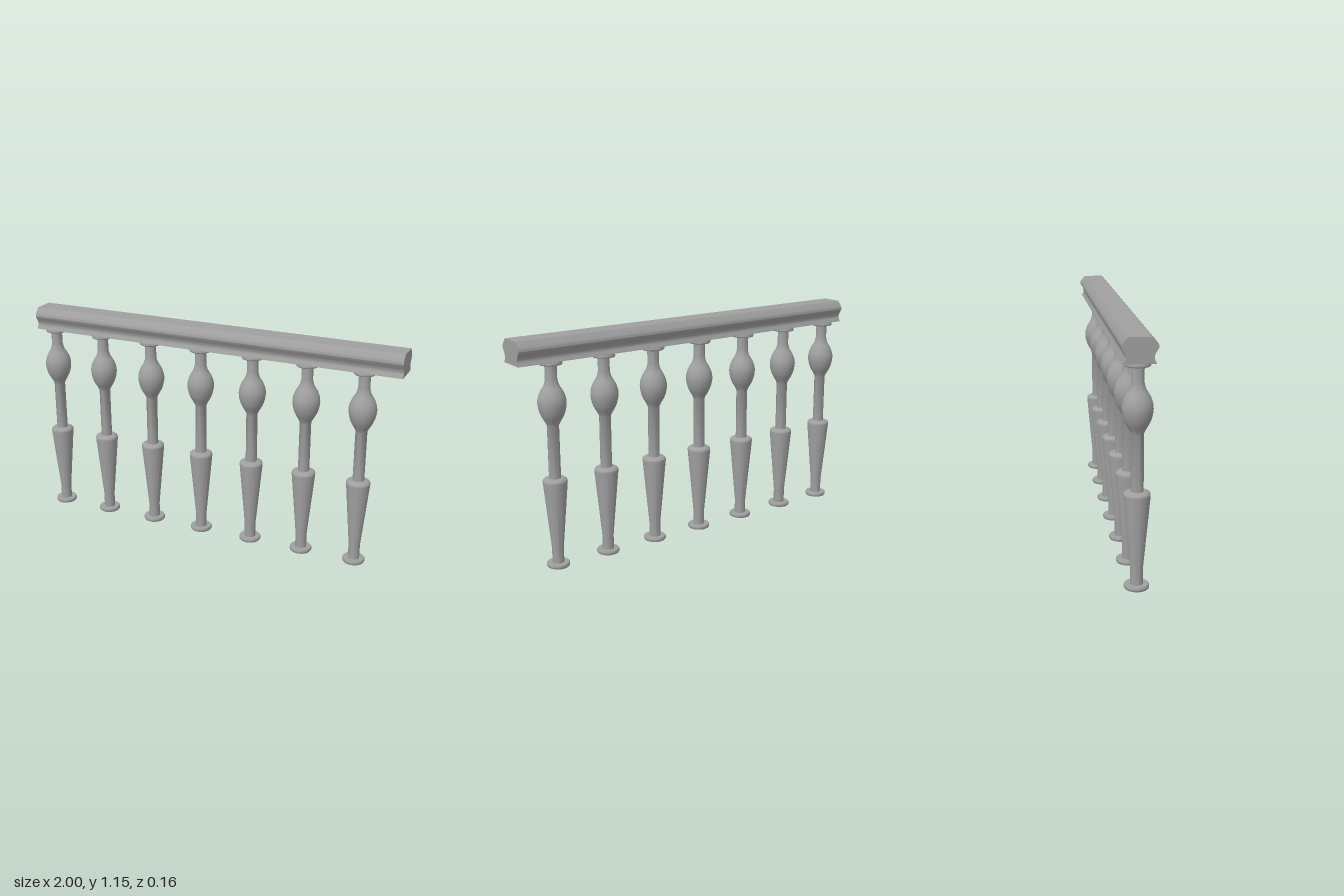
import * as THREE from 'three';
import { toCreasedNormals } from 'three/addons/utils/BufferGeometryUtils.js';

const material = new THREE.MeshStandardMaterial({ color: 0x9f9f9f, side: THREE.DoubleSide });
const v = (x, y) => new THREE.Vector2(x, y);

// Turned baluster profile: foot, tapered vase, shaft, bulb and collar
function balusterGeometry() {
  const bulb = new THREE.SplineCurve([
    v(0.029, 0.72), v(0.037, 0.737), v(0.055, 0.769), v(0.065, 0.8), v(0.069, 0.832),
    v(0.064, 0.862), v(0.052, 0.89), v(0.037, 0.915), v(0.029, 0.943),
  ]).getPoints(20);
  const profile = [
    v(0.032, 0), v(0.054, 0), v(0.057, 0.005), v(0.057, 0.015), v(0.054, 0.02), v(0.029, 0.02),
    v(0.029, 0.095), v(0.06, 0.435), v(0.06, 0.445), v(0.056, 0.451), v(0.046, 0.457), v(0.029, 0.458),
    ...bulb,
    v(0.029, 1.016), v(0.054, 1.016), v(0.057, 1.02), v(0.057, 1.033), v(0.054, 1.038), v(0.029, 1.038),
  ];
  return toCreasedNormals(new THREE.LatheGeometry(profile, 28), 0.6);
}

// Moulded handrail section, swept along x
function railGeometry() {
  const side = [
    v(0.07, 1.038), v(0.069, 1.042),
    ...new THREE.SplineCurve([
      v(0.066, 1.047), v(0.061, 1.057), v(0.06, 1.068), v(0.064, 1.081),
      v(0.073, 1.096), v(0.079, 1.108), v(0.078, 1.118), v(0.073, 1.128),
    ]).getPoints(16),
    v(0.052, 1.152),
  ];
  const outline = [...side, ...side.map((p) => v(-p.x, p.y)).reverse()];
  const geometry = new THREE.ExtrudeGeometry(new THREE.Shape(outline), { depth: 2, bevelEnabled: false });
  geometry.translate(0, 0, -1).rotateY(Math.PI / 2);
  return toCreasedNormals(geometry, 0.6);
}

export function createModel() {
  const model = new THREE.Group();
  model.name = 'balustrade';

  const rail = new THREE.Mesh(railGeometry(), material);
  rail.name = 'handrail';
  model.add(rail);

  // Evenly spaced row of balusters
  const geometry = balusterGeometry();
  for (let i = 0; i < 7; i++) {
    const baluster = new THREE.Mesh(geometry, material);
    baluster.name = `baluster${i + 1}`;
    baluster.position.x = -0.927 + i * 0.288;
    model.add(baluster);
  }
  return model;
}
